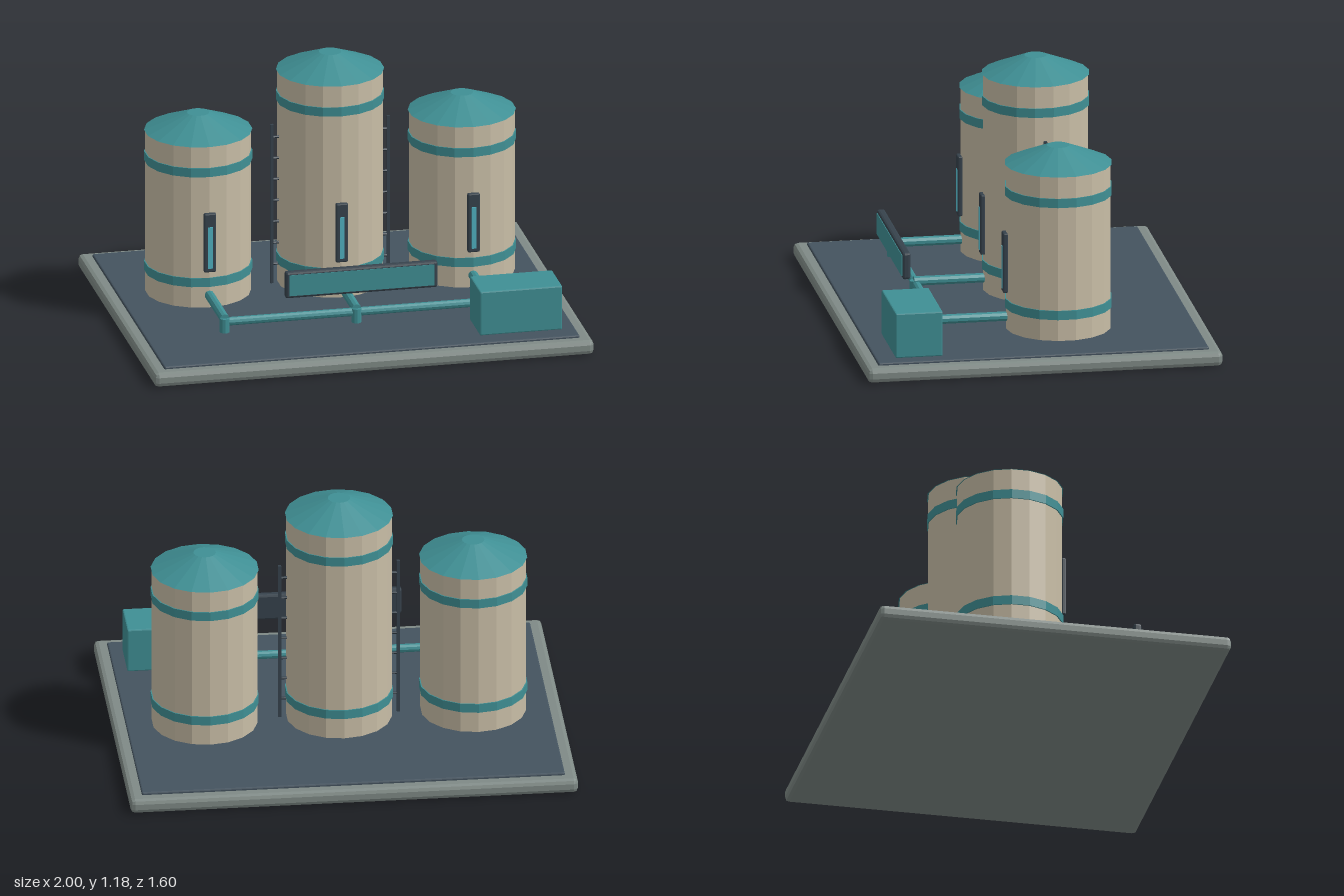
import * as THREE from 'three';
import { RoundedBoxGeometry } from 'three/addons/geometries/RoundedBoxGeometry.js';

const mat = (color) => new THREE.MeshStandardMaterial({ color, flatShading: true });
const M = {
  stone: mat(0x7f8a86),
  slate: mat(0x44535f),
  cream: mat(0xc8bda6),
  teal: mat(0x3f8f94),
  dark: mat(0x36424c),
  glass: mat(0x4fb0c0),
};
const SIDES = 18;
const TANK_Z = -0.124;

function add(parent, name, geometry, material, x, y, z) {
  const mesh = new THREE.Mesh(geometry, material);
  mesh.name = name;
  mesh.position.set(x, y, z);
  parent.add(mesh);
  return mesh;
}

const box = (w, h, d, r) => new RoundedBoxGeometry(w, h, d, 1, r);

// Round bar between two points
function bar(parent, name, a, b, radius, material, sides = 10) {
  const from = new THREE.Vector3(...a), to = new THREE.Vector3(...b);
  const dir = to.clone().sub(from);
  const mid = from.clone().add(to).multiplyScalar(0.5);
  const mesh = add(parent, name, new THREE.CylinderGeometry(radius, radius, dir.length(), sides), material, mid.x, mid.y, mid.z);
  mesh.quaternion.setFromUnitVectors(new THREE.Vector3(0, 1, 0), dir.normalize());
  return mesh;
}

// Storage tank: shell, shallow roof, two hoops and a level gauge
function makeTank(x, top) {
  const tank = new THREE.Group();
  tank.name = 'tank';
  tank.position.set(x, 0, TANK_Z);
  const bottom = 0.105, h = top - bottom;
  add(tank, 'tankShell', new THREE.CylinderGeometry(0.236, 0.236, h, SIDES), M.cream, 0, bottom + h / 2, 0);
  add(tank, 'tankRoof', new THREE.CylinderGeometry(0.05, 0.241, 0.08, SIDES), M.teal, 0, top + 0.04, 0);
  for (const y of [0.224, top - 0.121])
    add(tank, 'tankHoop', new THREE.CylinderGeometry(0.241, 0.241, 0.042, SIDES), M.teal, 0, y, 0);
  add(tank, 'gaugeFrame', box(0.055, 0.278, 0.022, 0.006), M.dark, 0, 0.414, 0.241);
  add(tank, 'gaugeStrip', new THREE.BoxGeometry(0.021, 0.196, 0.01), M.glass, 0, 0.392, 0.25);
  return tank;
}

export function createModel() {
  const model = new THREE.Group();
  model.name = 'tankFarm';

  // Ground slab
  add(model, 'baseSlab', box(2, 0.066, 1.6, 0.02), M.stone, 0, 0.033, 0);
  add(model, 'basePad', box(1.89, 0.03, 1.49, 0.006), M.slate, 0, 0.063, 0);

  // Tanks
  model.add(makeTank(-0.6, 0.865), makeTank(0, 1.105), makeTank(0.6, 0.865));

  // Climbing rails on both sides of the tall tank
  for (const side of [-1, 1]) {
    const ladder = new THREE.Group();
    ladder.name = 'ladder';
    add(ladder, 'ladderRail', new THREE.BoxGeometry(0.014, 0.75, 0.014), M.dark, side * 0.265, 0.485, TANK_Z);
    for (let i = 0; i < 7; i++)
      bar(ladder, 'ladderRung', [side * 0.225, 0.2 + i * 0.1, TANK_Z], [side * 0.27, 0.2 + i * 0.1, TANK_Z], 0.006, M.dark, 6);
    model.add(ladder);
  }

  // Pipework: one outlet and drop per tank, joined by a manifold
  const pipes = new THREE.Group();
  pipes.name = 'pipework';
  for (const x of [-0.6, 0, 0.6]) {
    bar(pipes, 'outletPipe', [x, 0.162, 0.09], [x, 0.162, 0.425], 0.022, M.teal);
    bar(pipes, 'dropPipe', [x, 0.1, 0.422], [x, 0.165, 0.422], 0.022, M.teal);
  }
  bar(pipes, 'manifoldPipe', [-0.6, 0.146, 0.414], [0.6, 0.146, 0.414], 0.019, M.teal);
  model.add(pipes);

  // Pump house
  add(model, 'pumpHouse', box(0.375, 0.207, 0.213, 0.006), M.teal, 0.698, 0.181, 0.551);

  // Blank sign board
  add(model, 'signFrame', box(0.692, 0.124, 0.036, 0.01), M.dark, 0, 0.337, 0.515);
  add(model, 'signPanel', new THREE.BoxGeometry(0.66, 0.098, 0.012), M.teal, 0, 0.337, 0.53);

  return model;
}
